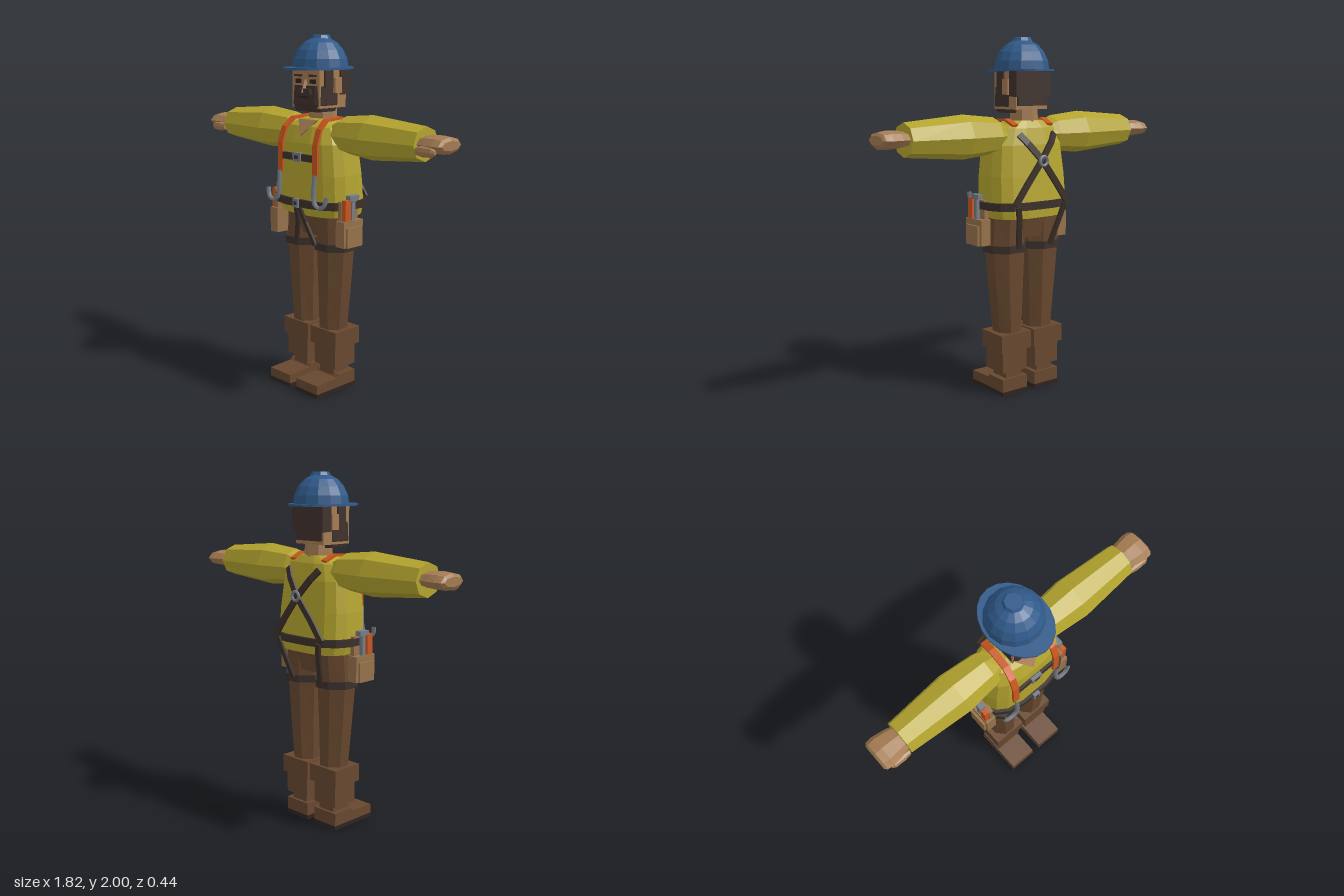
import * as THREE from 'three';

const V = (x, y, z) => new THREE.Vector3(x, y, z);
const COLORS = {
  shirt: 0xb5a52f, trousers: 0x68482f, skin: 0xa57c53, helmet: 0x305a8a, hair: 0x40322d,
  webbing: 0x3b302a, orange: 0xc9561f, steel: 0x767d87, pouch: 0x97734b, sole: 0x2f2421,
};

export function createModel() {
  const model = new THREE.Group();
  const mats = {};
  for (const [name, color] of Object.entries(COLORS)) {
    mats[name] = new THREE.MeshStandardMaterial({ color });
    mats[name].name = name;
  }

  function add(name, geometry, mat, flat = true) {
    if (flat) {
      if (geometry.index) geometry = geometry.toNonIndexed();
      geometry.computeVertexNormals();
    }
    const mesh = new THREE.Mesh(geometry, mats[mat]);
    mesh.name = name;
    model.add(mesh);
    return mesh;
  }

  // Box given by its limits on each axis; s mirrors x
  function box(name, mat, x0, x1, y0, y1, z0, z1, s = 1) {
    const g = new THREE.BoxGeometry(x1 - x0, y1 - y0, z1 - z0);
    g.translate(s * (x0 + x1) / 2, (y0 + y1) / 2, (z0 + z1) / 2);
    return add(name, g, mat);
  }

  // Skin over rings of points, with capped ends or closed into a loop, always facing outward
  function loft(rings, closed = false) {
    const tris = [], n = rings[0].length, m = rings.length;
    for (let i = 0; i < (closed ? m : m - 1); i++) {
      const a = rings[i], b = rings[(i + 1) % m];
      for (let j = 0; j < n; j++) {
        const k = (j + 1) % n;
        tris.push([a[j], a[k], b[k]], [a[j], b[k], b[j]]);
      }
    }
    if (!closed) for (let j = 1; j < n - 1; j++) {
      tris.push([rings[0][0], rings[0][j + 1], rings[0][j]]);
      tris.push([rings[m - 1][0], rings[m - 1][j], rings[m - 1][j + 1]]);
    }
    const o = rings[0][0];
    let volume = 0;
    for (const [a, b, c] of tris) {
      volume += a.clone().sub(o).dot(b.clone().sub(o).cross(c.clone().sub(o)));
    }
    const pts = tris.flatMap(([a, b, c]) => (volume < 0 ? [a, c, b] : [a, b, c]));
    return new THREE.BufferGeometry().setFromPoints(pts);
  }

  // Horizontal ring: a rounded rectangle (e < 1) or ellipse (e = 1), with separate front and back depth
  function ring(y, rx, zf, zb, cx = 0, n = 16, e = 0.7) {
    const cz = (zf + zb) / 2, rz = (zf - zb) / 2;
    const pow = (v) => Math.sign(v) * Math.abs(v) ** e;
    return Array.from({ length: n }, (_, i) => {
      const a = ((i + 0.5) / n) * Math.PI * 2;
      return V(cx + rx * pow(Math.cos(a)), y, cz + rz * pow(Math.sin(a)));
    });
  }

  // Upright ring across the x axis
  const limbRing = (x, y, z, ry, rz) => Array.from({ length: 8 }, (_, i) => {
    const a = (i * Math.PI) / 4;
    return V(x, y + ry * Math.sin(a), z + rz * Math.cos(a));
  });

  // Flat webbing along a path; side is the direction of its width
  function strap(name, mat, path, side, width = 0.04, thick = 0.014, closed = false) {
    const m = path.length;
    const rings = path.map((p, i) => {
      const a = closed ? path[(i + m - 1) % m] : path[Math.max(i - 1, 0)];
      const b = closed ? path[(i + 1) % m] : path[Math.min(i + 1, m - 1)];
      const t = b.clone().sub(a).normalize();
      const nrm = t.clone().cross(side).normalize();
      const w = nrm.clone().cross(t).multiplyScalar(width / 2);
      nrm.multiplyScalar(thick / 2);
      return [[1, 1], [1, -1], [-1, -1], [-1, 1]].map(([u, v]) =>
        p.clone().addScaledVector(w, u).addScaledVector(nrm, v));
    });
    return add(name, loft(rings, closed), mat);
  }
  const X = V(1, 0, 0), Y = V(0, 1, 0);

  // Shirt body
  add('shirtBody', loft([
    ring(1.02, 0.24, 0.14, -0.178), ring(1.09, 0.256, 0.152, -0.182), ring(1.25, 0.25, 0.152, -0.168),
    ring(1.42, 0.23, 0.145, -0.15), ring(1.51, 0.185, 0.112, -0.128), ring(1.55, 0.1, 0.06, -0.105),
  ]), 'shirt');
  add('hips', loft([ring(0.9, 0.17, 0.075, -0.105), ring(1.03, 0.21, 0.1, -0.13)]), 'trousers');

  // Neck and open collar
  const neck = new THREE.CylinderGeometry(0.075, 0.082, 0.16, 8);
  neck.translate(0, 1.55, -0.03);
  add('neck', neck, 'skin');
  const collar = (d) => [V(-0.075, 1.545, 0.075 + d), V(0, 1.46, 0.133 + d), V(0.075, 1.545, 0.075 + d)];
  add('collarOpening', loft([collar(0), collar(0.012)]), 'skin');

  // Head, hair and face
  box('head', 'skin', -0.108, 0.108, 1.61, 1.82, -0.1, 0.1);
  box('backHair', 'hair', -0.118, 0.118, 1.68, 1.825, -0.118, -0.05);
  box('napeHair', 'hair', -0.1, 0.1, 1.63, 1.68, -0.112, -0.05);
  add('beard', loft([
    ring(1.59, 0.1, 0.105, -0.05, 0, 8, 0.35), ring(1.63, 0.113, 0.118, -0.058, 0, 8, 0.35),
    ring(1.73, 0.113, 0.11, -0.058, 0, 8, 0.35),
  ]), 'hair');
  box('moustache', 'hair', -0.055, 0.055, 1.685, 1.715, 0.1, 0.125);
  box('mouth', 'sole', -0.045, 0.045, 1.665, 1.675, 0.11, 0.12);
  add('nose', loft([
    [V(-0.03, 1.69, 0.09), V(0.03, 1.69, 0.09), V(0, 1.695, 0.135)],
    [V(-0.012, 1.765, 0.09), V(0.012, 1.765, 0.09), V(0, 1.765, 0.106)],
  ]), 'skin');
  for (const s of [1, -1]) {
    box('sideburn', 'hair', 0.1, 0.117, 1.72, 1.82, 0.005, 0.066, s);
    box('ear', 'skin', 0.1, 0.128, 1.69, 1.775, -0.05, 0.0, s);
    box('eyebrow', 'hair', 0.028, 0.088, 1.778, 1.79, 0.098, 0.106, s);
    box('eye', 'sole', 0.034, 0.082, 1.742, 1.765, 0.097, 0.103, s);
  }

  // Hard hat
  const dome = new THREE.SphereGeometry(1, 14, 5, 0, Math.PI * 2, 0, Math.PI / 2);
  dome.scale(0.156, 0.172, 0.156);
  dome.translate(0, 1.82, -0.01);
  add('helmetDome', dome, 'helmet');
  const cap = new THREE.CylinderGeometry(0.045, 0.056, 0.02, 8);
  cap.translate(0, 1.99, -0.015);
  add('helmetCap', cap, 'helmet');
  const brim = new THREE.CylinderGeometry(1, 1, 0.012, 20);
  brim.scale(0.168, 1, 0.215);
  brim.translate(0, 1.822, 0.005);
  add('helmetBrim', brim, 'helmet');

  // Belt, chest strap and buckles
  strap('belt', 'webbing', ring(1.09, 0.268, 0.166, -0.192), Y, 0.042, 0.018, true);
  box('chestStrap', 'webbing', -0.14, 0.14, 1.325, 1.363, 0.15, 0.166);
  for (const [y, z, w] of [[1.345, 0.165, 0.032], [1.09, 0.175, 0.02]]) {
    box('buckle', 'steel', -w, w, y - 0.025, y + 0.025, z - 0.01, z + 0.009);
    box('buckleCentre', 'webbing', -w / 2, w / 2, y - 0.01, y + 0.01, z, z + 0.012);
  }
  const backRing = new THREE.TorusGeometry(0.026, 0.009, 6, 10);
  backRing.translate(0, 1.335, -0.208);
  add('backRing', backRing, 'steel', false);

  for (const s of [1, -1]) {
    // Sleeve and hand
    add('sleeve', loft([
      [0.13, 0.06, 0.08], [0.2, 0.1, 0.105], [0.4, 0.12, 0.125], [0.755, 0.09, 0.098],
    ].map(([x, ry, rz]) => limbRing(s * x, 1.47, -0.012, ry, rz))), 'shirt');
    add('hand', loft([
      [0.74, 0.035, 0.07], [0.8, 0.046, 0.085], [0.86, 0.048, 0.094], [0.9, 0.042, 0.09], [0.912, 0.025, 0.075],
    ].map(([x, ry, rz]) => limbRing(s * x, 1.475, -0.013, ry, rz))), 'skin');
    add('thumb', loft([
      [0.76, 0.02, 0.015], [0.8, 0.028, 0.022], [0.86, 0.025, 0.02], [0.878, 0.012, 0.01],
    ].map(([x, ry, rz]) => limbRing(s * x, 1.445, 0.068, ry, rz))), 'skin');

    // Trouser leg and boot
    add('leg', loft([
      ring(0.34, 0.082, 0.075, -0.1, s * 0.107, 8, 1), ring(0.6, 0.1, 0.086, -0.11, s * 0.115, 8, 1),
      ring(0.86, 0.118, 0.098, -0.12, s * 0.121, 8, 1), ring(1.04, 0.112, 0.1, -0.13, s * 0.117, 8, 1),
    ]), 'trousers');
    box('bootCuff', 'trousers', 0.01, 0.216, 0.26, 0.36, -0.112, 0.08, s);
    box('bootShaft', 'trousers', 0.03, 0.198, 0.135, 0.26, -0.096, 0.064, s);
    box('ankle', 'trousers', 0.055, 0.165, 0.085, 0.14, -0.08, 0.045, s);
    const toe = (x) => [V(s * x, 0.022, -0.095), V(s * x, 0.022, 0.205), V(s * x, 0.074, 0.205),
      V(s * x, 0.08, 0.05), V(s * x, 0.097, 0.035), V(s * x, 0.097, -0.095)];
    add('bootFoot', loft([toe(0.028), toe(0.198)]), 'trousers');
    box('bootSole', 'sole', 0.025, 0.201, 0, 0.023, -0.098, 0.207, s);

    // Orange shoulder strap and hook
    strap('shoulderStrap', 'orange', [
      V(s * 0.14, 1.25, 0.163), V(s * 0.14, 1.42, 0.16), V(s * 0.138, 1.5, 0.132),
      V(s * 0.13, 1.548, 0.075), V(s * 0.125, 1.555, -0.04), V(s * 0.12, 1.525, -0.11),
    ], X, 0.038);
    const hook = new THREE.CatmullRomCurve3([
      V(s * 0.142, 1.26, 0.17), V(s * 0.142, 1.14, 0.178), V(s * 0.155, 1.1, 0.18),
      V(s * 0.19, 1.085, 0.18), V(s * 0.225, 1.105, 0.178), V(s * 0.236, 1.15, 0.172),
    ]);
    add('hook', new THREE.TubeGeometry(hook, 16, 0.013, 6), 'steel', false);

    // Crossed back strap
    strap('backStrap', 'webbing', [
      V(s * 0.12, 1.48, -0.145), V(s * 0.08, 1.43, -0.172), V(0, 1.335, -0.195 - s * 0.004),
      V(-s * 0.1, 1.21, -0.192), V(-s * 0.18, 1.1, -0.19),
    ], V(0.75, -s * 0.65, 0), 0.036);

    // Thigh loop with its straps to the belt
    strap('thighLoop', 'webbing', ring(0.845, 0.121, 0.105, -0.128, s * 0.121, 8, 1), Y, 0.042, 0.016, true);
    strap('frontLegStrap', 'webbing', [
      V(s * 0.012, 1.08, 0.168), V(s * 0.03, 0.98, 0.135), V(s * 0.075, 0.85, 0.104),
    ], X, 0.026);
    strap('rearLegStrap', 'webbing', [
      V(s * 0.16, 1.09, -0.195), V(s * 0.14, 1.0, -0.172), V(s * 0.11, 0.85, -0.126),
    ], X, 0.03);

    // Tool pouch and tools
    box('pouch', 'pouch', 0.24, 0.302, 0.87, 1.015, -0.042, 0.105, s);
    box('pouchPocket', 'pouch', 0.295, 0.315, 0.87, 0.98, -0.025, 0.09, s);
    box('pouchBack', 'pouch', 0.245, 0.272, 1.01, 1.12, -0.03, 0.095, s);
    box('toolGrip', 'orange', 0.272, 0.3, 1.01, 1.13, 0.05, 0.09, s);
    box('hammerHandle', 'steel', 0.274, 0.296, 1.01, 1.13, 0.012, 0.036, s);
    box('hammerHead', 'steel', 0.268, 0.302, 1.125, 1.152, -0.012, 0.056, s);
  }
  return model;
}
